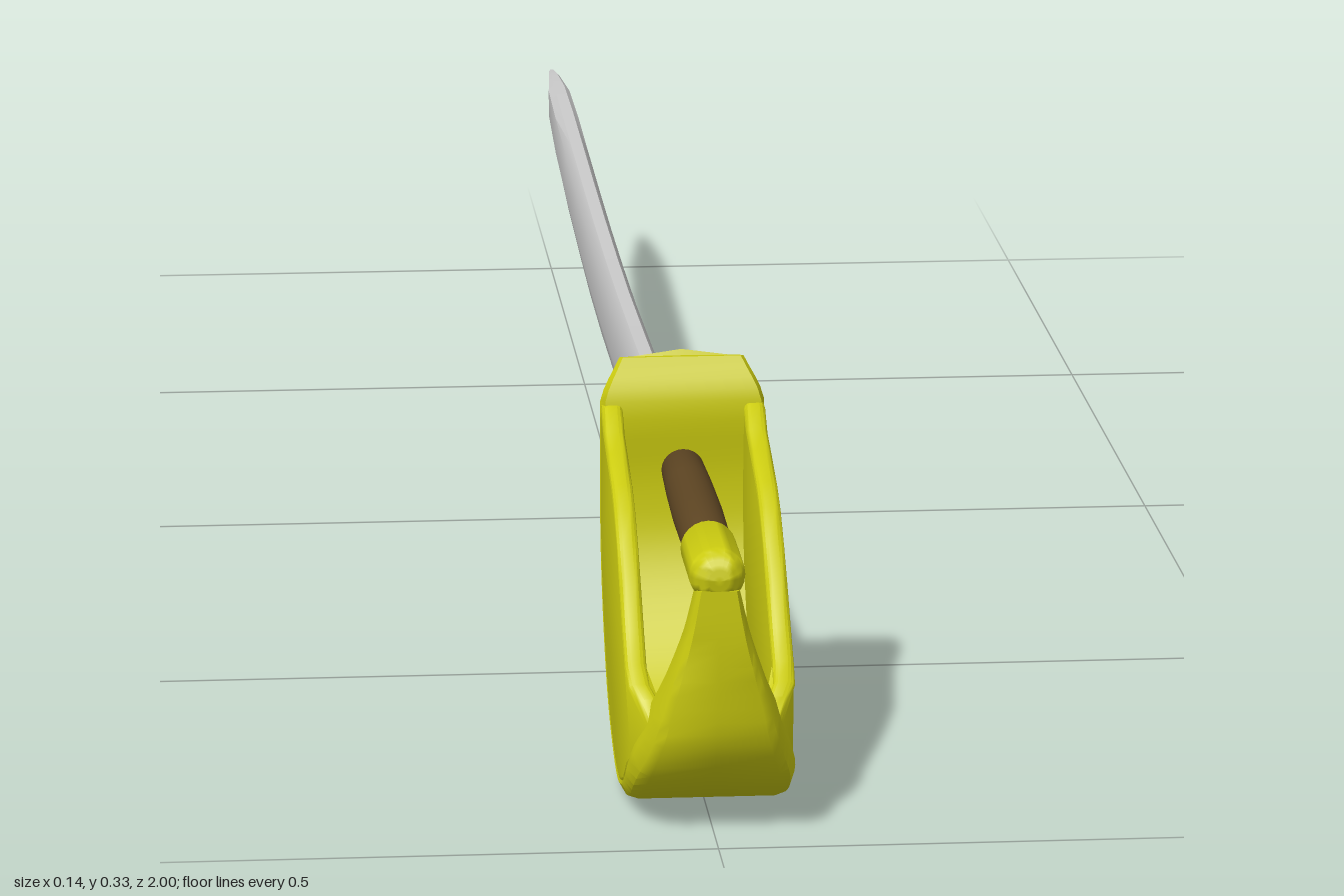
import * as THREE from 'three';
import { toCreasedNormals } from 'three/addons/utils/BufferGeometryUtils.js';

const V = (x, y, z) => new THREE.Vector3(x, y, z);

// Skin a list of equal-length closed loops and cap both ends, facing outward.
function loft(sections, crease) {
  const n = sections[0].length;
  const tris = [];
  for (let s = 0; s < sections.length - 1; s++) {
    for (let i = 0; i < n; i++) {
      const j = (i + 1) % n;
      const a = sections[s][i], b = sections[s][j];
      const c = sections[s + 1][j], d = sections[s + 1][i];
      tris.push([a, b, c], [a, c, d]);
    }
  }
  const cap = (loop, flip) => {
    const mid = loop.reduce((m, p) => m.add(p), V(0, 0, 0)).divideScalar(n);
    loop.forEach((p, i) => {
      const q = loop[(i + 1) % n];
      tris.push(flip ? [mid, q, p] : [mid, p, q]);
    });
  };
  cap(sections[0], true);
  cap(sections[sections.length - 1], false);
  const volume = tris.reduce((v, [a, b, c]) => v + a.dot(b.clone().cross(c)), 0);
  if (volume < 0) tris.forEach((t) => t.reverse());
  const geo = new THREE.BufferGeometry().setFromPoints(tris.flat());
  geo.computeVertexNormals();
  return toCreasedNormals(geo, crease);
}

export function createModel() {
  const group = new THREE.Group();
  const gold = new THREE.MeshStandardMaterial({ color: 0xcccc10 });
  const brown = new THREE.MeshStandardMaterial({ color: 0x5c4422 });
  const steel = new THREE.MeshStandardMaterial({ color: 0xcccccc });
  const add = (name, geo, mat) => {
    const mesh = new THREE.Mesh(geo, mat);
    mesh.name = name;
    group.add(mesh);
    return mesh;
  };

  // Blade: [z, bottom y, top y, half thickness]
  const blade = [
    [0.66, 0.176, 0.246, 0.007], [0.58, 0.171, 0.243, 0.012], [0.4, 0.16, 0.236, 0.012],
    [0.2, 0.149, 0.228, 0.012], [0, 0.139, 0.222, 0.012], [-0.15, 0.137, 0.221, 0.012],
    [-0.3, 0.139, 0.222, 0.012], [-0.45, 0.146, 0.225, 0.012], [-0.6, 0.155, 0.229, 0.012],
    [-0.75, 0.17, 0.233, 0.012], [-0.87, 0.189, 0.234, 0.011], [-0.94, 0.205, 0.232, 0.006],
    [-0.98, 0.216, 0.228, 0.003], [-0.995, 0.222, 0.225, 0.001],
  ];
  // Half section: [fraction of thickness, fraction of height]
  const half = [[0.3, 0], [0.75, 0.1], [1, 0.3], [1, 0.88], [0.5, 1]];
  const bladeLoop = [...half, ...half.map(([x, y]) => [-x, y]).reverse()];
  add('blade', loft(blade.map(([z, lo, hi, t]) =>
    bladeLoop.map(([x, y]) => V(x * t, lo + y * (hi - lo), z))), 0.6), steel);

  // Guard band: outer path (half width, y, z) and matching inner path
  const outer = new THREE.CatmullRomCurve3([
    V(0.053, 0.324, 0.637), V(0.07, 0.287, 0.636), V(0.07, 0.22, 0.636), V(0.07, 0.16, 0.642),
    V(0.07, 0.1, 0.67), V(0.07, 0.045, 0.72), V(0.07, 0.015, 0.78), V(0.07, 0.003, 0.84),
    V(0.07, 0.015, 0.9), V(0.068, 0.045, 0.955), V(0.055, 0.085, 0.985), V(0.042, 0.13, 0.994),
    V(0.027, 0.18, 0.998), V(0.018, 0.22, 0.998),
  ]);
  const inner = new THREE.CatmullRomCurve3([
    [0.325, 0.644], [0.29, 0.66], [0.22, 0.656], [0.165, 0.662], [0.11, 0.69],
    [0.062, 0.735], [0.035, 0.79], [0.025, 0.84], [0.04, 0.89], [0.075, 0.925],
    [0.11, 0.948], [0.14, 0.96], [0.18, 0.965], [0.215, 0.965],
  ].map(([y, z]) => V(0, y, z)));
  const steps = 52;
  const bandSections = [];
  const edgeLine = [];
  for (let i = 0; i <= steps; i++) {
    const o = outer.getPoint(i / steps), p = inner.getPoint(i / steps);
    const w = Math.min(o.x, 0.07);
    const at = (x, k) => V(x * w, THREE.MathUtils.lerp(o.y, p.y, k), THREE.MathUtils.lerp(o.z, p.z, k));
    const mid = at(0, 0);
    if (i === 0) mid.y += 0.006;
    bandSections.push([at(-1, 0.5), at(-0.93, 0.12), at(-0.8, 0), mid, at(0.8, 0),
      at(0.93, 0.12), at(1, 0.5), at(0.95, 1), at(-0.95, 1)]);
    // Side walls follow the band from just below the lip to the knuckle bow
    if (i >= 4 && i <= 40) edgeLine.push(new THREE.Vector2(at(0, 0.5).z, at(0, 0.5).y));
  }
  add('guardBand', loft(bandSections, 0.75), gold);

  // Guard side walls with rounded rims
  const rim = [[0.948, 0.115], [0.935, 0.124], [0.915, 0.135], [0.89, 0.157], [0.86, 0.186],
    [0.83, 0.212], [0.8, 0.234], [0.77, 0.248], [0.72, 0.262], [0.685, 0.271], [0.664, 0.287]]
    .map(([z, y]) => new THREE.Vector2(z, y));
  const wallShape = new THREE.Shape([...edgeLine, ...rim]);
  for (const side of [1, -1]) {
    const wall = new THREE.ExtrudeGeometry(wallShape, {
      depth: 0.008, bevelSize: 0.005, bevelThickness: 0.005, bevelOffset: -0.005, bevelSegments: 3,
    });
    wall.translate(0, 0, -0.004).rotateY(-Math.PI / 2).translate(side * 0.0607, 0, 0);
    // Draw the wall inward where the guard narrows to the knuckle bow
    const pos = wall.attributes.position;
    for (let i = 0; i < pos.count; i++) {
      const pull = Math.max(0, pos.getZ(i) - 0.93) * 0.45;
      pos.setX(i, pos.getX(i) - side * pull);
    }
    wall.computeVertexNormals();
    add(side > 0 ? 'leftGuardWall' : 'rightGuardWall', toCreasedNormals(wall, 0.7), gold);
  }

  // Grip and pommel along the handle axis
  const along = (profile) => new THREE.LatheGeometry(
    profile.map(([r, z]) => new THREE.Vector2(r, z)), 24).rotateX(Math.PI / 2).translate(0, 0.229, 0);
  add('grip', along([[0, 0.645], [0.018, 0.645], [0.02, 0.72], [0.021, 0.8], [0.02, 0.905], [0, 0.905]]), brown);
  const dome = [];
  for (let i = 0; i <= 8; i++) {
    const a = (i / 8) * Math.PI / 2;
    dome.push([0.023 * Math.cos(a), 0.977 + 0.023 * Math.sin(a)]);
  }
  add('pommel', toCreasedNormals(along([[0, 0.895], [0.021, 0.895], [0.023, 0.9], ...dome]), 0.7), gold);

  return group;
}
